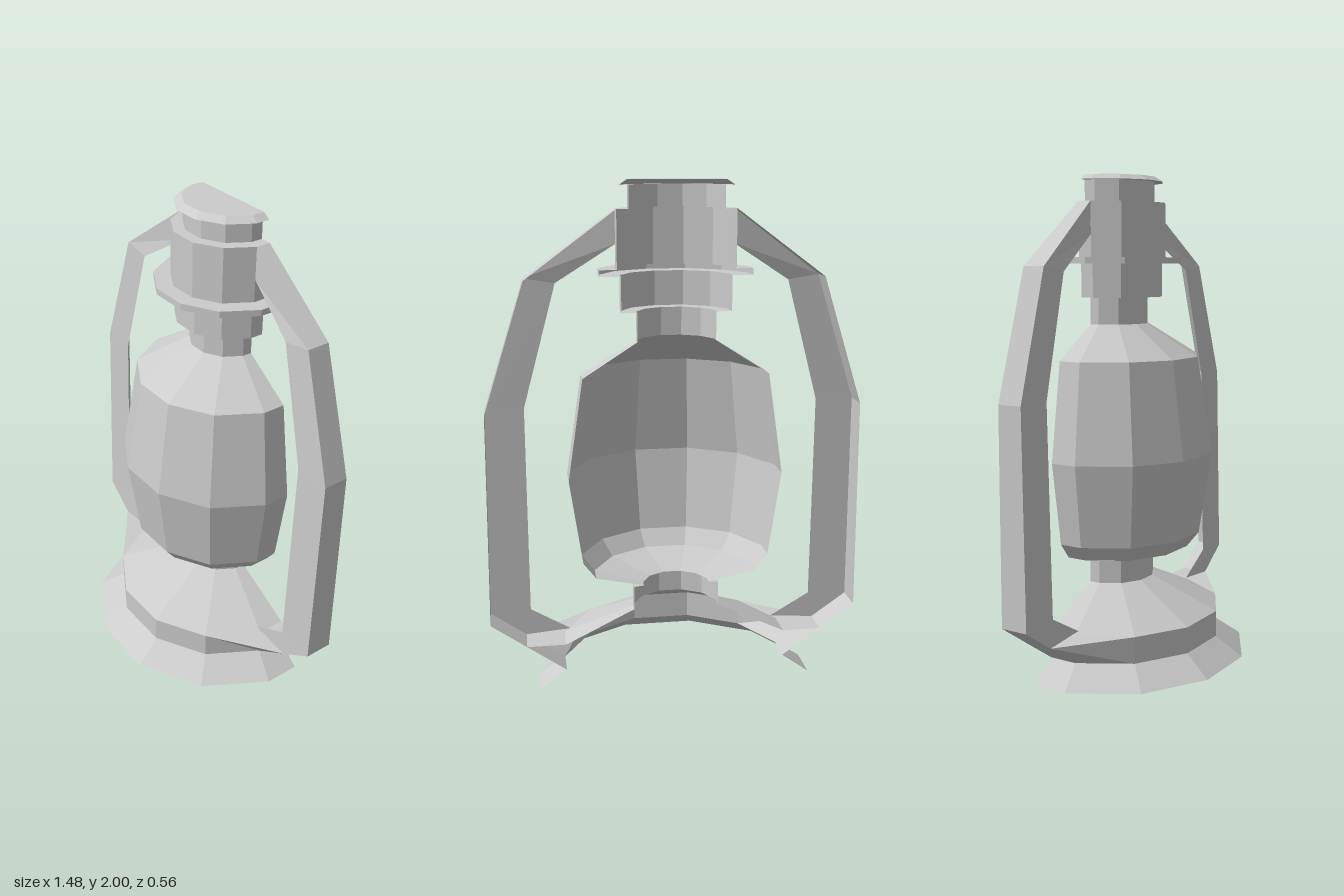
import * as THREE from 'three';

const AXIS_Z = -0.275;
const RAD = Math.PI / 180;
const material = new THREE.MeshStandardMaterial({ color: 0xcccccc, flatShading: true, side: THREE.DoubleSide });

// Front half of a twelve-sided turned shell; the profile is [half width, height] from bottom to top.
function halfTurned(profile) {
  const points = profile.map(([w, y]) => new THREE.Vector2(w / Math.cos(15 * RAD), y));
  const geometry = new THREE.LatheGeometry(points, 7, -105 * RAD, 210 * RAD);
  const pos = geometry.attributes.position;
  // Cut the last faces flat at the open back
  for (let i = 0; i < pos.count; i++) pos.setZ(i, Math.max(0, pos.getZ(i)));
  return geometry.translate(0, 0, AXIS_Z);
}

// Handle side: a front face and an outer wall, open at the back.
function handleGeometry() {
  // [outer x, outer y, inner x, inner y, front z]
  const rows = [
    [0.225, 1.895, 0.225, 1.765, -0.215],
    [0.57, 1.64, 0.45, 1.62, -0.18],
    [0.73, 1.14, 0.58, 1.14, -0.17],
    [0.74, 0.29, 0.58, 0.3, -0.158],
    [0.6, 0.19, 0.42, 0.205, -0.156],
  ];
  const vertices = [], index = [];
  rows.forEach(([ox, oy, ix, iy, z], i) => {
    vertices.push(ix, iy, z, ox, oy, z, ox, oy, AXIS_Z);
    if (i === rows.length - 1) return;
    for (let j = 0; j < 2; j++) {
      const a = i * 3 + j;
      index.push(a, a + 3, a + 4, a, a + 4, a + 1);
    }
  });
  const geometry = new THREE.BufferGeometry();
  geometry.setAttribute('position', new THREE.Float32BufferAttribute(vertices, 3));
  geometry.setIndex(index);
  geometry.computeVertexNormals();
  return geometry;
}

export function createModel() {
  const group = new THREE.Group();
  const add = (name, geometry) => {
    const mesh = new THREE.Mesh(geometry, material);
    mesh.name = name;
    group.add(mesh);
    return mesh;
  };

  // Base: flared foot, upright band and sloping top
  const baseProfile = [[0.555, 0], [0.445, 0.08], [0.445, 0.19], [0.445, 0.19], [0.17, 0.325]];
  const base = halfTurned(baseProfile);
  // Pull the sides of the band's rim out to meet the handle
  for (const column of [0, 1, 6, 7]) {
    base.attributes.position.setX(column * baseProfile.length + 2, column < 2 ? -0.6 : 0.6);
  }
  base.computeVertexNormals();
  add('base', base);

  // Turned parts, from the bottom up
  const turned = {
    lowerNeck: [[0.17, 0.325], [0.17, 0.42], [0.13, 0.425]],
    globe: [[0.13, 0.425], [0.32, 0.465], [0.37, 0.53], [0.42, 0.87], [0.36, 1.27], [0.15, 1.405]],
    upperNeck: [[0.15, 1.405], [0.15, 1.515]],
    collar: [[0.15, 1.515], [0.21, 1.515], [0.21, 1.65]],
    rimRing: [[0.21, 1.65], [0.29, 1.65], [0.29, 1.675], [0.225, 1.675]],
    chimney: [[0.225, 1.675], [0.225, 1.895], [0.18, 1.895]],
    cap: [[0.18, 1.895], [0.18, 1.98], [0.215, 1.98], [0.185, 2], [0, 2]],
  };
  for (const [name, profile] of Object.entries(turned)) add(name, halfTurned(profile));

  // Handle, mirrored left and right
  const handle = handleGeometry();
  add('leftHandle', handle);
  add('rightHandle', handle).scale.x = -1;

  return group;
}
